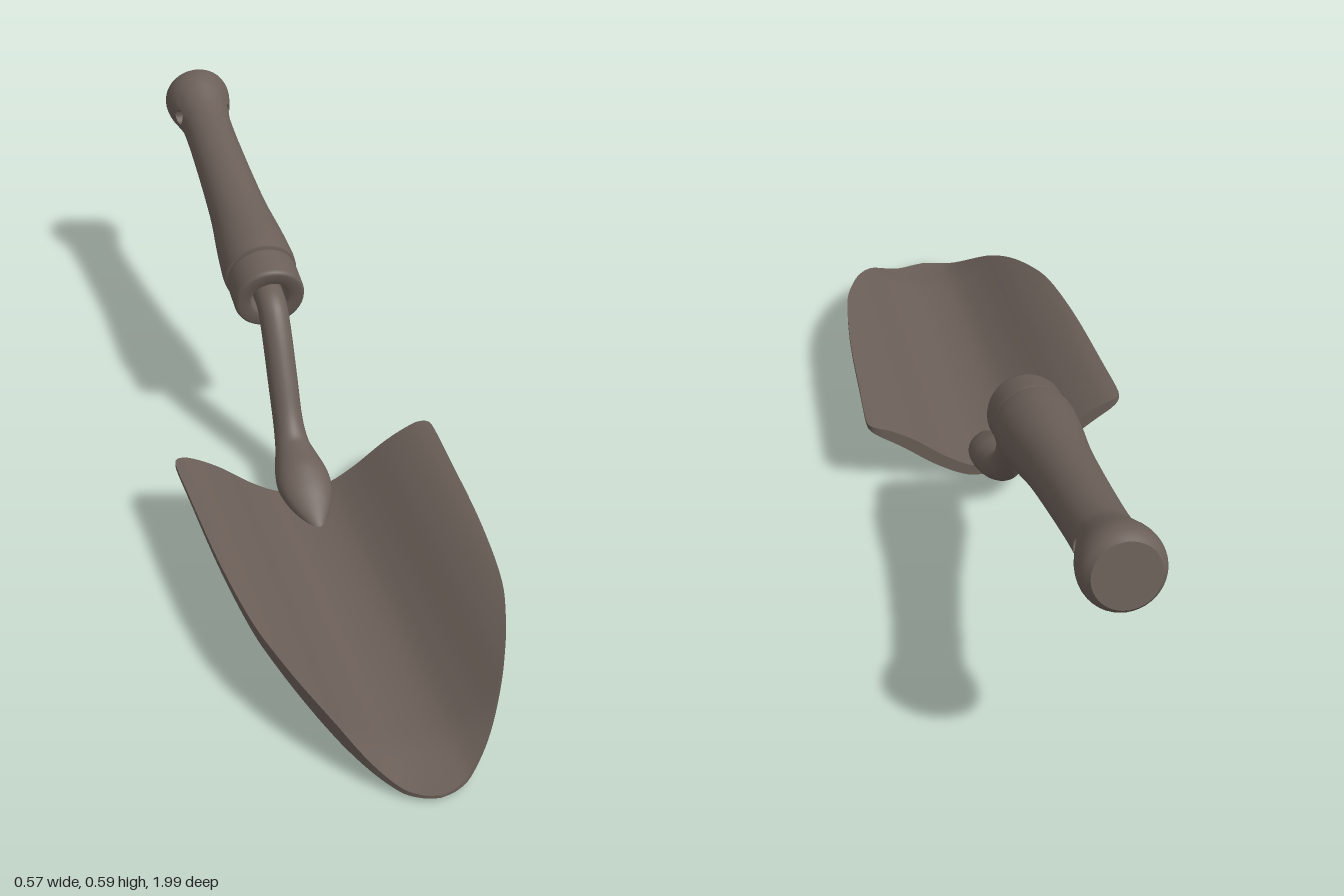
import * as THREE from 'three';

const steel = new THREE.MeshStandardMaterial({ color: 0x6b5f58, side: THREE.DoubleSide });
steel.name = 'brown grey';

// Smooth surface from a rule fn(i, j) -> [x, y, z]
function grid(rows, cols, fn, { wrap = false, skip = () => false } = {}) {
  const pos = [], index = [], n = wrap ? cols : cols + 1;
  for (let i = 0; i <= rows; i++) for (let j = 0; j < n; j++) pos.push(...fn(i, j));
  for (let i = 0; i < rows; i++) for (let j = 0; j < cols; j++) {
    if (skip(i, j)) continue;
    const k = (j + 1) % n, a = i * n + j, b = a + n, c = (i + 1) * n + k, d = i * n + k;
    index.push(a, b, c, a, c, d);
  }
  const g = new THREE.BufferGeometry();
  g.setAttribute('position', new THREE.Float32BufferAttribute(pos, 3));
  g.setIndex(index);
  g.computeVertexNormals();
  return g;
}

// Smooth function through [position, value] pairs
function smooth(pairs) {
  const f = new THREE.CubicInterpolant(pairs.map(p => p[0]), pairs.map(p => p[1]), 1);
  return v => f.evaluate(v)[0];
}

function part(name, geometry, parent) {
  const mesh = new THREE.Mesh(geometry, steel);
  mesh.name = name;
  parent.add(mesh);
  return mesh;
}

function makeBlade() {
  const blade = new THREE.Group();
  blade.name = 'blade';
  // Half outline: half width and z, from the back edge to the tip
  const outline = new THREE.SplineCurve([
    [0.258, 0.055], [0.278, 0.063], [0.285, 0.09], [0.281, 0.2], [0.271, 0.42], [0.252, 0.6],
    [0.227, 0.7], [0.188, 0.8], [0.13, 0.9], [0.075, 0.963], [0.036, 0.99], [0.001, 1],
  ].map(p => new THREE.Vector2(...p))).getPoints(66);
  const upper = smooth([[-0.06, 0.03], [0, 0.02], [0.06, 0.03], [0.112, 0.06], [0.19, 0.12],
    [0.25, 0.153], [0.277, 0.16], [0.3, 0.163]]);
  const lower = smooth([[-0.03, 0], [0, 0], [0.03, 0], [0.065, 0.004], [0.14, 0.045],
    [0.21, 0.1], [0.285, 0.151], [0.3, 0.16]]);
  const bottomY = (x, z) => lower(Math.abs(x)) + 0.009 * z;
  const topY = (x, z) => {
    const taper = 1 - 0.6 * THREE.MathUtils.smoothstep(z, 0.85, 1);
    const low = lower(Math.abs(x));
    return low + 0.009 * z + Math.max(0.004, (upper(Math.abs(x)) - low - 0.004 * z) * taper);
  };
  const rows = outline.length - 1, cols = 40;
  const sheet = (height, dir) => grid(rows, cols, (i, j) => {
    const { x: w, y: z } = outline[i], x = dir * w * (j / cols * 2 - 1);
    return [x, height(x, z), z];
  });
  part('bladeTop', sheet(topY, 1), blade);
  part('bladeUnderside', sheet(bottomY, -1), blade);

  // Thin rim all around the outline
  const loop = [];
  for (let j = 0; j < cols; j++) loop.push([outline[0].x * (j / cols * 2 - 1), outline[0].y]);
  outline.forEach(p => loop.push([p.x, p.y]));
  outline.slice(1).reverse().forEach(p => loop.push([-p.x, p.y]));
  part('bladeRim', grid(1, loop.length, (i, j) => {
    const [x, z] = loop[j];
    return [x, i ? bottomY(x, z) : topY(x, z), z];
  }, { wrap: true }), blade);
  return blade;
}

// Bent shaft that flares into a socket and a tapering tongue on the blade
function makeShaft() {
  // y, z, half width, half height
  const keys = [
    [0.365, -0.29, 0.033, 0.033], [0.355, -0.24, 0.033, 0.033], [0.342, -0.2, 0.033, 0.033],
    [0.302, -0.167, 0.033, 0.033], [0.21, -0.115, 0.033, 0.033], [0.125, -0.068, 0.033, 0.033],
    [0.085, -0.032, 0.038, 0.036], [0.064, 0.01, 0.05, 0.044], [0.053, 0.05, 0.058, 0.046],
    [0.044, 0.09, 0.057, 0.037], [0.031, 0.135, 0.042, 0.024], [0.014, 0.19, 0.012, 0.008],
  ];
  const path = new THREE.CatmullRomCurve3(keys.map(k => new THREE.Vector3(0, k[0], k[1])));
  const size = new THREE.CatmullRomCurve3(keys.map(k => new THREE.Vector3(k[2], k[3], 0)), false, 'catmullrom', 0.5);
  const rows = 55, sides = 28, across = new THREE.Vector3(1, 0, 0);
  return grid(rows, sides, (i, j) => {
    const t = i / rows, a = j / sides * Math.PI * 2;
    const c = path.getPoint(t), s = size.getPoint(t);
    const up = across.clone().cross(path.getTangent(t));
    return c.addScaledVector(across, s.x * Math.cos(a)).addScaledVector(up, s.y * Math.sin(a)).toArray();
  }, { wrap: true });
}

function makeHandle() {
  const handle = new THREE.Group();
  handle.name = 'handle';
  // Collar with a recess around the shaft
  const collar = [[0.028, 0.035], [0.041, 0.03], [0.043, 0.008], [0.047, 0], [0.072, 0],
    [0.078, 0.003], [0.08, 0.01], [0.08, 0.075], [0.078, 0.083], [0.07, 0.087]];
  part('collar', new THREE.LatheGeometry(collar.map(p => new THREE.Vector2(...p)), 40), handle);

  // Grip: radius along its length, with a cross hole near the end
  const radius = smooth([[0.083, 0.08], [0.09, 0.083], [0.13, 0.0825], [0.19, 0.078], [0.29, 0.068],
    [0.39, 0.063], [0.5, 0.0595], [0.6, 0.058], [0.65, 0.06], [0.69, 0.069], [0.72, 0.0765],
    [0.745, 0.0785], [0.765, 0.074], [0.78, 0.063]]);
  const sides = 40, holeS = 0.668, holeR = 0.018, step = 0.009;
  const lengths = [0.084, 0.086, 0.09];
  for (let k = 1; k <= 24; k++) lengths.push(0.09 + k * 0.0222);
  const holeRow = lengths.length + 4;
  for (let k = -4; k <= 4; k++) lengths.push(holeS + k * step);
  lengths.push(0.715, 0.727, 0.737, 0.745, 0.753, 0.76, 0.767, 0.774, 0.78);
  const holeCols = [1, 19], lift = radius(holeS) * Math.sin(Math.PI * 2 / sides);
  const offset = (j, c) => (j - c + sides * 1.5) % sides - sides / 2;
  // Point on the grip at a distance and angle from the hole centre
  const aroundHole = (side, r, a) => {
    const s = holeS + r * Math.cos(a), z = lift + r * Math.sin(a);
    return [side * Math.sqrt(radius(s) ** 2 - z * z), s, z];
  };
  const grip = grid(lengths.length - 1, sides, (i, j) => {
    for (const c of holeCols) {
      const side = c === 1 ? 1 : -1, di = i - holeRow, dj = offset(j, c) * side;
      const ring = Math.max(Math.abs(di), Math.abs(dj));
      if (ring !== 2 && ring !== 3) continue;
      // Square rings of the grid become circles
      const a = Math.abs(di) >= Math.abs(dj)
        ? (di > 0 ? 0 : Math.PI) + Math.PI / 4 * dj / di
        : (dj > 0 ? 0.5 : 1.5) * Math.PI - Math.PI / 4 * di / dj;
      return aroundHole(side, holeR * ring / 2, a);
    }
    const s = lengths[i], r = i ? radius(s) : 0.07, a = j / sides * Math.PI * 2;
    return [r * Math.cos(a), s, r * Math.sin(a)];
  }, {
    wrap: true,
    skip: (i, j) => Math.abs(i + 0.5 - holeRow) < 2 && holeCols.some(c => Math.abs(offset(j, c) + 0.5) < 2),
  });
  part('grip', grip, handle);
  part('hangingHole', grid(1, 16, (i, j) => aroundHole(i ? 1 : -1, holeR, j / 16 * Math.PI * 2),
    { wrap: true }), handle);

  const cap = part('gripEnd', new THREE.CircleGeometry(radius(0.78), sides), handle);
  cap.rotation.x = -Math.PI / 2;
  cap.position.y = 0.78;

  handle.position.set(0, 0.35, -0.218);
  handle.rotation.x = -1.348;
  return handle;
}

export function createModel() {
  const trowel = new THREE.Group();
  trowel.name = 'trowel';
  trowel.add(makeBlade(), makeHandle());
  part('shaft', makeShaft(), trowel);
  return trowel;
}
